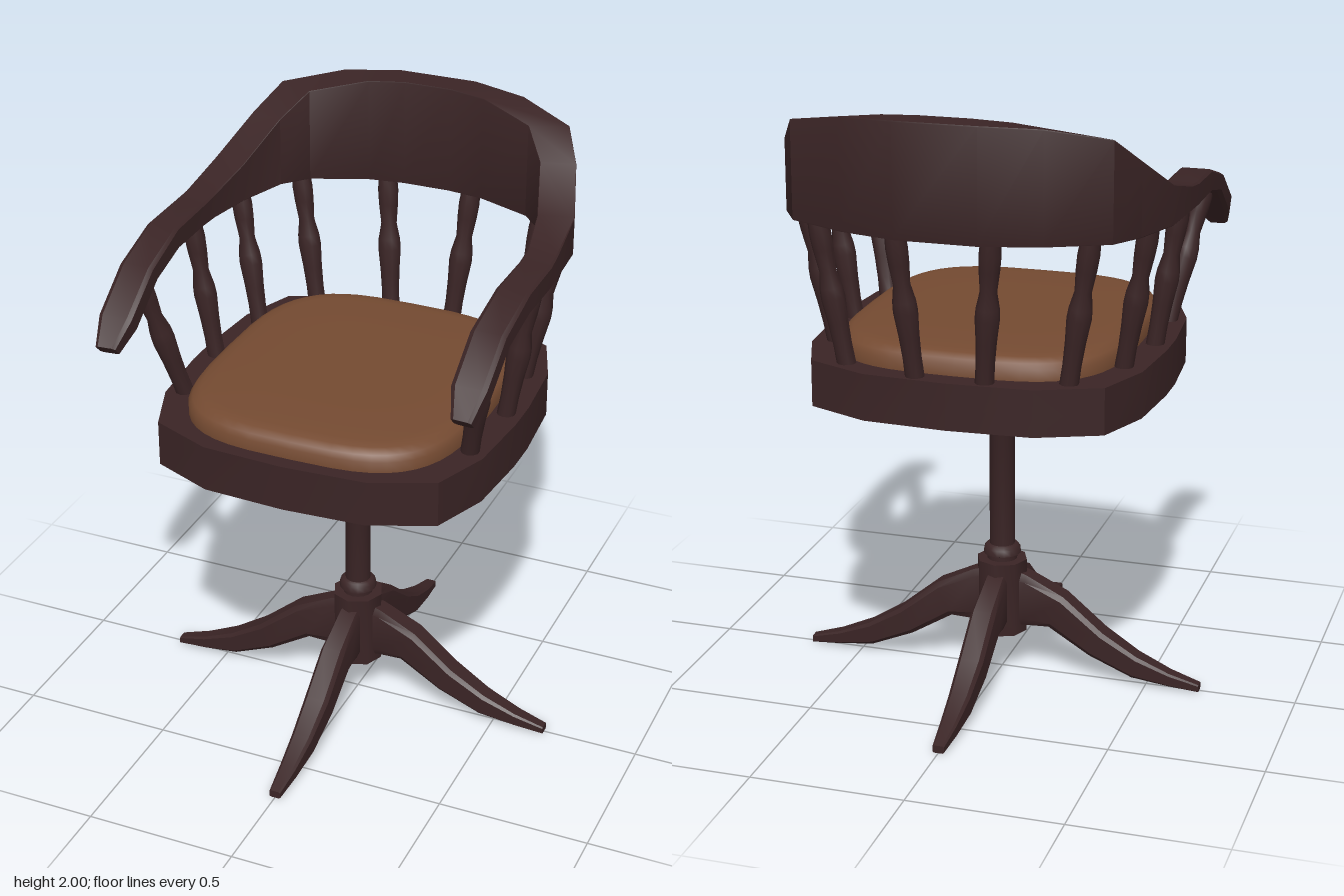
import * as THREE from 'three';
import { toCreasedNormals } from 'three/addons/utils/BufferGeometryUtils.js';

const wood = new THREE.MeshStandardMaterial({ color: 0x3a2425 });
wood.name = 'dark wood';
const leather = new THREE.MeshStandardMaterial({ color: 0x744a31 });
leather.name = 'brown leather';

const V = (x, y, z) => new THREE.Vector3(x, y, z);

function add(parent, name, geometry, material = wood) {
  const mesh = new THREE.Mesh(geometry, material);
  mesh.name = name;
  parent.add(mesh);
  return mesh;
}

// Solid skin through a list of rings with equal point counts, capped at both ends
function loft(rings, crease = 0.6) {
  const tris = [];
  const n = rings[0].length;
  for (let r = 0; r < rings.length - 1; r++) {
    for (let i = 0; i < n; i++) {
      const j = (i + 1) % n;
      const [a, b, c, d] = [rings[r][i], rings[r][j], rings[r + 1][j], rings[r + 1][i]];
      tris.push([a, b, c], [a, c, d]);
    }
  }
  [rings[0], rings[rings.length - 1]].forEach((ring, end) => {
    const mid = ring.reduce((s, p) => s.add(p), V(0, 0, 0)).divideScalar(n);
    for (let i = 0; i < n; i++) {
      const j = (i + 1) % n;
      tris.push(end ? [ring[i], ring[j], mid] : [ring[j], ring[i], mid]);
    }
  });
  // Turn the skin outward if its volume is negative
  const volume = tris.reduce((s, [a, b, c]) => s + a.dot(V(0, 0, 0).crossVectors(b, c)), 0);
  if (volume < 0) tris.forEach((t) => t.reverse());
  const geometry = new THREE.BufferGeometry().setFromPoints(tris.flat());
  geometry.computeVertexNormals();
  return toCreasedNormals(geometry, crease);
}

// Chamfered square ring in (u, v) from -1 to 1, placed by a function
function section(c, place) {
  const k = 1 - c;
  return [[k, -1], [1, -k], [1, k], [k, 1], [-k, 1], [-1, k], [-1, -k], [-k, -1]]
    .map(([u, v]) => place(u, v));
}

function roundedOutline(a, b, power, zOffset, y, count = 48) {
  const f = (t) => Math.sign(t) * Math.abs(t) ** (2 / power);
  return Array.from({ length: count }, (_, i) => {
    const t = (i / count) * Math.PI * 2;
    return V(a * f(Math.cos(t)), y, zOffset + b * f(Math.sin(t)));
  });
}

function turned(points, sides) {
  const g = new THREE.LatheGeometry(points.map(([r, y]) => new THREE.Vector2(r, y)), sides);
  return toCreasedNormals(g, 0.8);
}

export function createModel() {
  const chair = new THREE.Group();
  chair.name = 'swivelChair';

  // Seat board
  const quarter = [[0, 0.585], [0.27, 0.57], [0.47, 0.485], [0.54, 0.3], [0.56, 0.06]];
  const half = [...quarter, ...quarter.slice().reverse().map(([x, z]) => [x, -z])];
  const outline = [...half, ...half.slice(1, -1).reverse().map(([x, z]) => [-x, z])];
  add(chair, 'seatBoard', loft([1.04, 1.19].map((y) => outline.map(([x, z]) => V(x, y, z)))));

  // Cushion
  const layers = [[0, 1.185], [0, 1.225], [0.012, 1.243], [0.035, 1.257], [0.07, 1.262], [0.25, 1.266]];
  add(chair, 'cushion', loft(layers.map(([inset, y]) =>
    roundedOutline(0.463 - inset, 0.522 - inset, 3.4, 0.012, y)), 0.9), leather);

  // Arm and back rail: outer x, z, inner x, z, top y, bottom y, bottom z shift, chamfer
  const stations = [
    [0.61, 0.605, 0.545, 0.6, 1.485, 1.45, -0.035, 0.3],
    [0.63, 0.535, 0.52, 0.535, 1.56, 1.505, -0.04, 0.25],
    [0.632, 0.385, 0.52, 0.385, 1.665, 1.61, -0.035, 0.25],
    [0.635, 0.19, 0.528, 0.19, 1.72, 1.645, 0, 0.2],
    [0.635, 0, 0.532, 0, 1.722, 1.645, 0, 0.15],
    [0.63, -0.07, 0.53, -0.07, 1.727, 1.645, 0, 0.1],
    [0.617, -0.26, 0.505, -0.23, 1.77, 1.645, 0, 0.03],
    [0.56, -0.43, 0.45, -0.4, 1.875, 1.645, 0, 0.02],
    [0.5, -0.53, 0.38, -0.48, 1.955, 1.645, 0, 0.02],
    [0.314, -0.62, 0.2, -0.553, 1.992, 1.645, 0, 0.02],
    [0.13, -0.668, 0.08, -0.57, 2, 1.645, 0, 0.02],
  ];
  const railRing = (side) => ([xo, zo, xi, zi, yt, yb, dz, c]) => section(c, (u, v) => {
    const s = (u + 1) / 2, t = (v + 1) / 2;
    return V(side * (xi + (xo - xi) * s), yb + (yt - yb) * t, zi + (zo - zi) * s + dz * (1 - t));
  });
  // Each mirrored ring keeps the same inner and outer order, so the skin runs straight through
  add(chair, 'armAndBackRail', loft([
    ...stations.map(railRing(1)),
    ...stations.slice().reverse().map(railRing(-1)),
  ], 0.45));

  // Turned spindles, foot and head position for the left side
  const spindles = [
    [V(0.11, 1.18, -0.54), V(0.15, 1.66, -0.6)],
    [V(0.355, 1.18, -0.475), V(0.43, 1.66, -0.51)],
    [V(0.47, 1.18, -0.26), V(0.555, 1.66, -0.3)],
    [V(0.505, 1.18, 0), V(0.58, 1.66, 0)],
    [V(0.485, 1.18, 0.265), V(0.575, 1.64, 0.385)],
  ];
  const profile = [[0.03, 0], [0.029, 0.15], [0.032, 0.3], [0.038, 0.46], [0.036, 0.53],
    [0.026, 0.64], [0.032, 0.78], [0.034, 0.88], [0.03, 1]];
  for (const side of [1, -1]) {
    spindles.forEach(([foot, head], i) => {
      const a = foot.clone().setX(side * foot.x);
      const axis = head.clone().setX(side * head.x).sub(a);
      const length = axis.length();
      const g = turned(profile.map(([r, t]) => [r, t * length]), 10);
      const spindle = add(chair, (side > 0 ? 'left' : 'right') + 'Spindle' + (i + 1), g);
      spindle.position.copy(a);
      spindle.quaternion.setFromUnitVectors(V(0, 1, 0), axis.normalize());
    });
  }

  // Swivel block, column and hub
  const block = toCreasedNormals(new THREE.CylinderGeometry(0.18, 0.18, 0.095, 8), 0.6);
  add(chair, 'swivelBlock', block).position.y = 1.0025;
  add(chair, 'column', turned([[0.042, 0.38], [0.042, 0.84], [0.09, 0.957]], 16));
  add(chair, 'collar', turned([[0.05, 0.39], [0.05, 0.415], [0.062, 0.42], [0.06, 0.44],
    [0.052, 0.45], [0.03, 0.455]], 16));
  add(chair, 'hub', turned([[0, 0.145], [0.085, 0.145], [0.085, 0.4], [0, 0.4]], 8));

  // Four curved legs: top x, y, bottom x, y, half width
  const legStations = [
    [0.03, 0.37, 0.03, 0.165, 0.036],
    [0.09, 0.355, 0.085, 0.175, 0.038],
    [0.22, 0.292, 0.17, 0.18, 0.042],
    [0.355, 0.18, 0.31, 0.095, 0.042],
    [0.47, 0.108, 0.455, 0.033, 0.036],
    [0.58, 0.06, 0.58, 0.015, 0.028],
    [0.68, 0.03, 0.68, 0.005, 0.019],
  ];
  const legGeometry = loft(legStations.map(([xt, yt, xb, yb, w]) => section(0.28, (u, v) => {
    const t = (v + 1) / 2;
    return V(xb + (xt - xb) * t, yb + (yt - yb) * t, u * w);
  })), 0.5);
  ['left', 'back', 'right', 'front'].forEach((name, i) => {
    add(chair, name + 'Leg', legGeometry).rotation.y = i * Math.PI / 2;
  });

  return chair;
}
